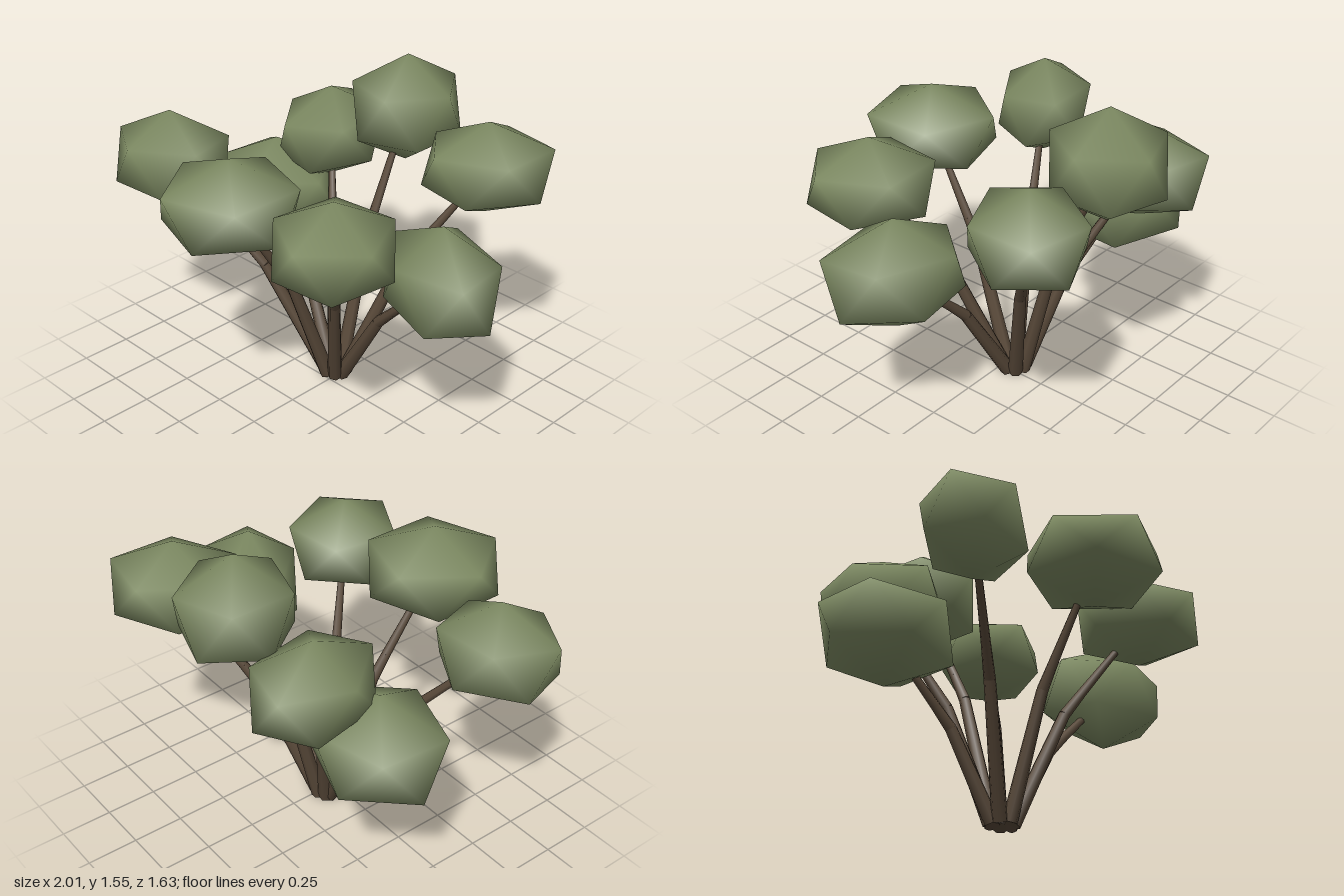
import * as THREE from 'three';

const foliage = new THREE.MeshStandardMaterial({ color: 0x7d8a62 });
const bark = new THREE.MeshStandardMaterial({ color: 0x5a4a3a });

// Each clump: centre, long / short radius, half height, direction of long axis, turn of upper ring (degrees)
const clumps = [
  { name: 'back', c: [-0.04, 1.28, -0.56], a: 0.26, b: 0.268, h: 0.27, yaw: 0, turn: -1 },
  { name: 'backLeft', c: [0.48, 1.145, -0.54], a: 0.3, b: 0.26, h: 0.225, yaw: -45, turn: 32 },
  { name: 'backRight', c: [-0.45, 1.065, -0.46], a: 0.31, b: 0.245, h: 0.235, yaw: 75, turn: 26 },
  { name: 'right', c: [-0.63, 0.78, -0.25], a: 0.325, b: 0.288, h: 0.255, yaw: 0, turn: 4 },
  { name: 'frontRight', c: [-0.735, 1.07, 0.325], a: 0.285, b: 0.23, h: 0.25, yaw: -25, turn: 18 },
  { name: 'front', c: [-0.1, 1.12, 0.51], a: 0.315, b: 0.315, h: 0.22, yaw: 0, turn: 36 },
  { name: 'frontLeft', c: [0.435, 1.065, 0.405], a: 0.295, b: 0.27, h: 0.225, yaw: 50, turn: 10 },
  { name: 'left', c: [0.7, 0.86, 0.015], a: 0.32, b: 0.235, h: 0.27, yaw: 25, turn: 36 },
];

// Smooth-shaded stretched icosahedron with its poles on y
function clumpGeometry({ a, b, h, yaw, turn }) {
  const pos = [0, h, 0, 0, -h, 0];
  const y0 = THREE.MathUtils.degToRad(yaw);
  for (const [y, offset] of [[0.447, 0], [-0.447, 36]]) {
    for (let i = 0; i < 5; i++) {
      const t = THREE.MathUtils.degToRad(turn + offset + i * 72) - y0;
      const u = a * Math.cos(t), v = b * Math.sin(t);
      pos.push(u * Math.cos(y0) - v * Math.sin(y0), y * h, u * Math.sin(y0) + v * Math.cos(y0));
    }
  }
  const index = [];
  for (let i = 0; i < 5; i++) {
    const j = (i + 1) % 5;
    const u0 = 2 + i, u1 = 2 + j, l0 = 7 + i, l1 = 7 + j;
    index.push(0, u1, u0, u0, u1, l0, u1, l1, l0, 1, l0, l1);
  }
  const geo = new THREE.BufferGeometry();
  geo.setAttribute('position', new THREE.Float32BufferAttribute(pos, 3));
  geo.setIndex(index);
  geo.computeVertexNormals();
  return geo;
}

// Tapered round length of wood between two points
function limb(from, to, r0, r1, name) {
  const dir = to.clone().sub(from);
  const mesh = new THREE.Mesh(new THREE.CylinderGeometry(r1, r0, dir.length(), 7), bark);
  mesh.position.copy(from).add(to).multiplyScalar(0.5);
  mesh.quaternion.setFromUnitVectors(new THREE.Vector3(0, 1, 0), dir.normalize());
  mesh.name = name;
  return mesh;
}

export function createModel() {
  const shrub = new THREE.Group();
  shrub.name = 'shrub';
  const root = new THREE.Vector3(-0.025, 0.02, -0.065);

  for (const clump of clumps) {
    const centre = new THREE.Vector3(...clump.c);
    const out = centre.clone().sub(root).setY(0);

    // Stem: thick lower length, short elbow, thin upper length
    const base = root.clone().addScaledVector(out.clone().normalize(), 0.05);
    const knee = root.clone().addScaledVector(out, 0.44).setY(centre.y * 0.53);
    const elbow = root.clone().addScaledVector(out, 0.57).setY(centre.y * 0.64);
    const tip = root.clone().addScaledVector(out, 0.95).setY(centre.y * 0.95);
    const stem = new THREE.Group();
    stem.name = clump.name + 'Stem';
    stem.add(
      limb(base, knee, 0.037, 0.028, 'lowerStem'),
      limb(knee, elbow, 0.028, 0.023, 'stemElbow'),
      limb(elbow, tip, 0.023, 0.014, 'upperStem'),
    );
    shrub.add(stem);

    // Leaf clump on top of the stem
    const leaves = new THREE.Mesh(clumpGeometry(clump), foliage);
    leaves.name = clump.name + 'LeafClump';
    leaves.position.copy(centre);
    shrub.add(leaves);
  }
  return shrub;
}
